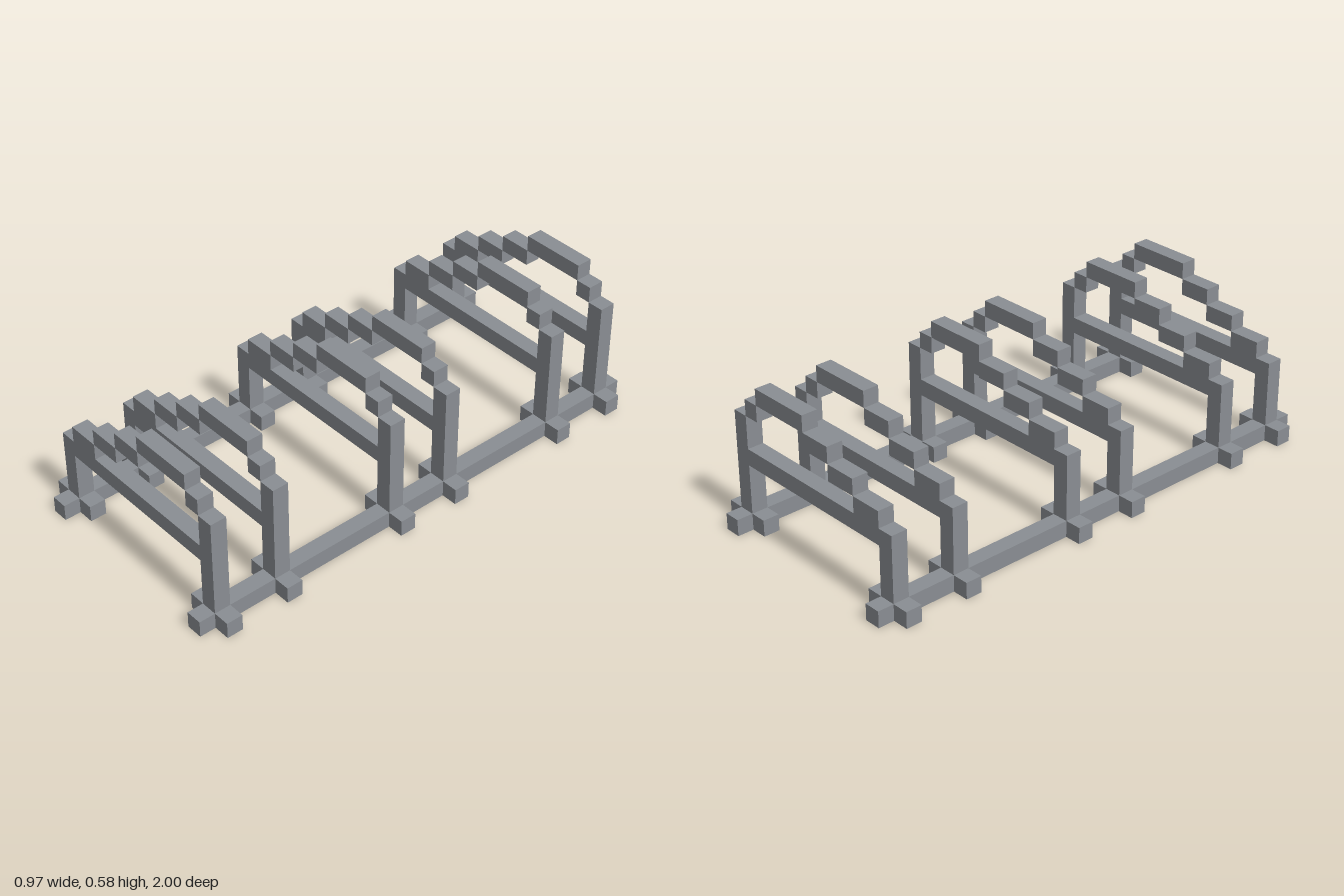
import * as THREE from 'three';

const U = 2 / 31; // one block

export function createModel() {
  const model = new THREE.Group();
  model.name = 'steppedFrames';
  const grey = new THREE.MeshStandardMaterial({ color: 0x8a8e93 });
  grey.name = 'stone grey';

  // Box from block column x, row y, slice z, with size in blocks
  function block(parent, name, x, y, z, w, h, d) {
    const mesh = new THREE.Mesh(new THREE.BoxGeometry(w * U, h * U, d * U), grey);
    mesh.name = name;
    mesh.position.set((x + w / 2 - 7.5) * U, (y + h / 2) * U, (z + d / 2 - 15.5) * U);
    parent.add(mesh);
  }

  // Long ground rails
  block(model, 'rightRail', 1, 0, 0, 1, 1, 31);
  block(model, 'leftRail', 13, 0, 0, 1, 1, 31);

  // Six identical cross frames, in three pairs
  [1, 5, 13, 17, 25, 29].forEach((z) => {
    const frame = new THREE.Group();
    frame.name = 'crossFrame';
    model.add(frame);

    // Foot blocks on both sides of each rail
    [0, 2, 12, 14].forEach((x) => block(frame, 'foot', x, 0, z, 1, 1, 1));

    // Short and tall legs joined by a beam
    block(frame, 'shortLeg', 1, 1, z, 1, 4, 1);
    block(frame, 'tallLeg', 13, 1, z, 1, 6, 1);
    block(frame, 'crossBeam', 2, 4, z, 11, 1, 1);

    // Steps rising to the ridge and dropping to the tall leg: [x, y, width]
    [[2, 5, 2], [4, 6, 2], [6, 7, 2], [8, 8, 4], [12, 7, 1]].forEach(([x, y, w]) =>
      block(frame, y === 8 ? 'ridge' : 'step', x, y, z, w, 1, 1));
  });

  return model;
}
